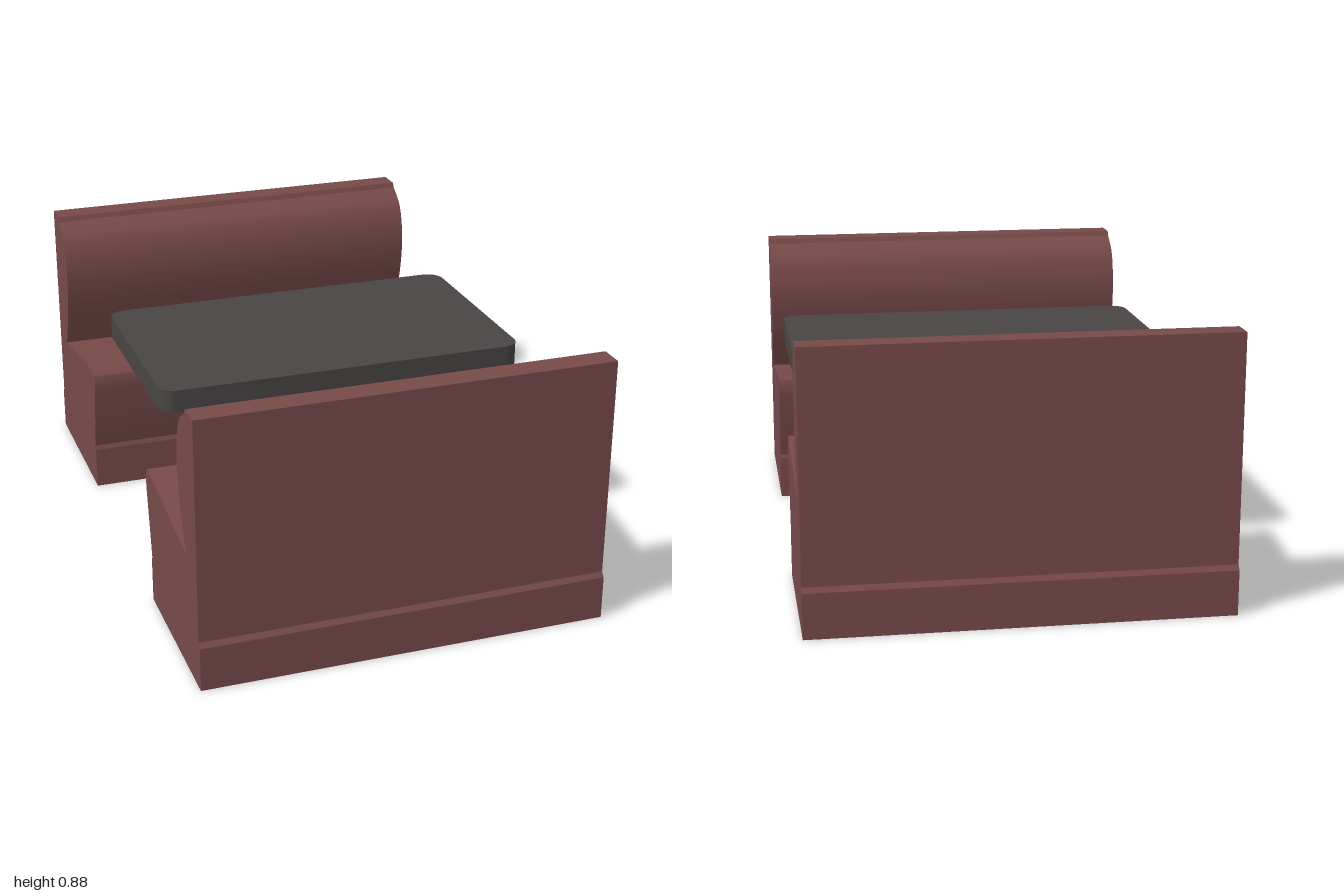
import * as THREE from 'three';
import { toCreasedNormals } from 'three/addons/utils/BufferGeometryUtils.js';

const upholstery = new THREE.MeshStandardMaterial({ name: 'maroon upholstery', color: 0x774a49 });
const laminate = new THREE.MeshStandardMaterial({ name: 'dark laminate', color: 0x484544 });
const metal = new THREE.MeshStandardMaterial({ name: 'brushed metal', color: 0xaea9a5 });

function part(name, geometry, material) {
  const mesh = new THREE.Mesh(geometry, material);
  mesh.name = name;
  return mesh;
}

// Bench: one side profile (z, y) swept along the full width
function benchGeometry() {
  const s = new THREE.Shape();
  s.moveTo(0.43, 0);
  s.lineTo(1.0, 0);
  s.lineTo(1.0, 0.145); // plinth
  s.lineTo(0.987, 0.16);
  s.lineTo(0.987, 0.885);
  s.lineTo(0.905, 0.885);
  s.lineTo(0.897, 0.868);
  // padded backrest
  s.splineThru([[0.865, 0.848], [0.83, 0.815], [0.807, 0.76], [0.796, 0.685],
    [0.803, 0.6], [0.825, 0.51], [0.873, 0.397]].map(([z, y]) => new THREE.Vector2(z, y)));
  // sloping seat and its rolled front edge
  s.lineTo(0.415, 0.466);
  s.lineTo(0.397, 0.45);
  s.lineTo(0.392, 0.435);
  s.lineTo(0.393, 0.395);
  s.lineTo(0.437, 0.16);
  s.lineTo(0.43, 0.145);
  const g = new THREE.ExtrudeGeometry(s, { depth: 1.33, bevelEnabled: false, curveSegments: 28 });
  g.rotateY(-Math.PI / 2).translate(0.66, 0, 0);
  return toCreasedNormals(g, 0.4);
}

// Table top: rounded rectangle laid flat
function topGeometry(x0, x1, z0, z1, r, y0, y1) {
  const s = new THREE.Shape();
  s.moveTo(x0 + r, z0);
  s.lineTo(x1 - r, z0);
  s.absarc(x1 - r, z0 + r, r, -Math.PI / 2, 0);
  s.lineTo(x1, z1 - r);
  s.absarc(x1 - r, z1 - r, r, 0, Math.PI / 2);
  s.lineTo(x0 + r, z1);
  s.absarc(x0 + r, z1 - r, r, Math.PI / 2, Math.PI);
  s.lineTo(x0, z0 + r);
  s.absarc(x0 + r, z0 + r, r, Math.PI, Math.PI * 1.5);
  const g = new THREE.ExtrudeGeometry(s, { depth: y1 - y0, bevelEnabled: false, curveSegments: 8 });
  g.rotateX(Math.PI / 2).translate(0, y1, 0);
  return toCreasedNormals(g, 0.6);
}

// Pedestal: flared foot, post and mounting plate
function pedestal(x) {
  const leg = new THREE.Group();
  leg.name = 'tablePedestal';
  const foot = [[0, 0.02], [0.102, 0.02], [0.102, 0.05], [0.04, 0.12], [0, 0.12]]
    .map(([r, y]) => new THREE.Vector2(r, y));
  leg.add(part('foot', toCreasedNormals(new THREE.LatheGeometry(foot, 32), 0.5), metal));
  const post = part('post', new THREE.CylinderGeometry(0.037, 0.037, 0.5, 32), metal);
  post.position.y = 0.365;
  const plate = part('mountingPlate', new THREE.CylinderGeometry(0.208, 0.208, 0.012, 40), metal);
  plate.position.y = 0.618;
  leg.add(post, plate);
  leg.position.set(x, 0, -0.012);
  return leg;
}

export function createModel() {
  const model = new THREE.Group();
  model.name = 'diningBooth';

  const bench = benchGeometry();
  const frontBench = part('frontBench', bench, upholstery);
  const backBench = part('backBench', bench, upholstery);
  backBench.rotation.y = Math.PI;
  model.add(frontBench, backBench);

  model.add(part('tableTop', topGeometry(-0.603, 0.64, -0.375, 0.36, 0.055, 0.62, 0.697), laminate));
  for (const x of [-0.335, 0.335]) model.add(pedestal(x));
  return model;
}
